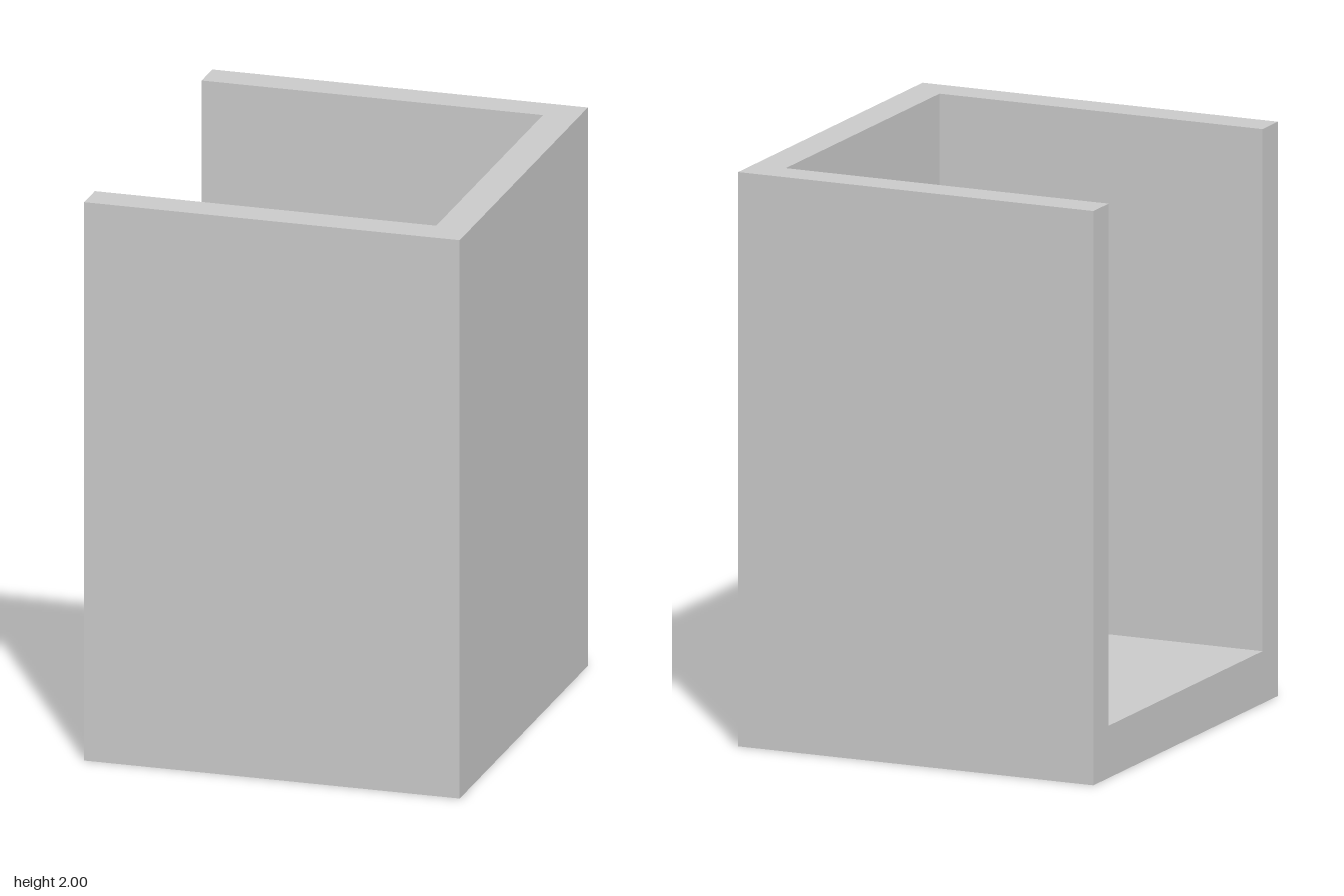
import * as THREE from 'three';

const UNIT = 2 / 16.5; // wall thickness
const HALF_X = 5.5 * UNIT, HALF_Z = 6 * UNIT;
const HEIGHT = 2, FLOOR = 1.5 * UNIT;

export function createModel() {
  const group = new THREE.Group();
  group.name = 'openSidedBin';
  const material = new THREE.MeshStandardMaterial({ color: 0xcccccc, flatShading: true });

  // Floor slab, full footprint
  const floor = new THREE.Mesh(new THREE.BoxGeometry(2 * HALF_X, FLOOR, 2 * HALF_Z), material);
  floor.name = 'floor';
  floor.position.y = FLOOR / 2;
  group.add(floor);

  // Three walls as one U-shaped plan, open towards -x
  const innerX = HALF_X - UNIT, innerZ = HALF_Z - UNIT;
  const plan = new THREE.Shape([
    [-HALF_X, -HALF_Z], [HALF_X, -HALF_Z], [HALF_X, HALF_Z], [-HALF_X, HALF_Z],
    [-HALF_X, innerZ], [innerX, innerZ], [innerX, -innerZ], [-HALF_X, -innerZ],
  ].map(([x, z]) => new THREE.Vector2(x, z)));
  const wallGeometry = new THREE.ExtrudeGeometry(plan, { depth: HEIGHT - FLOOR, bevelEnabled: false });
  wallGeometry.rotateX(-Math.PI / 2);
  const walls = new THREE.Mesh(wallGeometry, material);
  walls.name = 'walls';
  walls.position.y = FLOOR;
  group.add(walls);

  return group;
}
